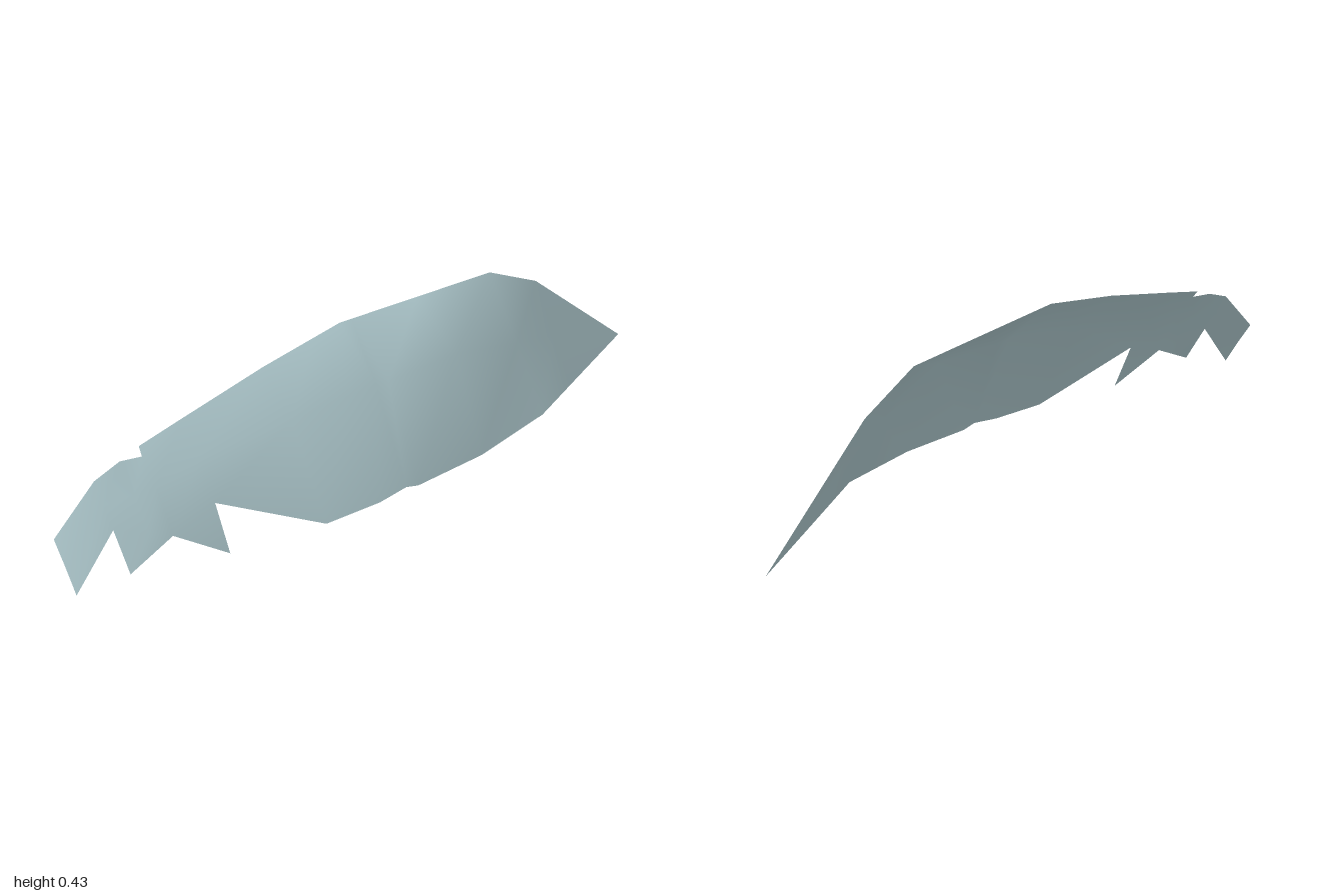
import * as THREE from 'three';

// Thin half shell lofted from cross-sections running front (+z) to tail (-z).
export function createModel() {
  const shellBlue = new THREE.MeshStandardMaterial({ color: 0xb4cfd4, side: THREE.DoubleSide });
  shellBlue.name = 'pale blue grey';
  const X = -0.133; // straight inner edge

  // [z, inner edge x, y, middle x, y, outer edge x, y]
  const sections = [
    [1.0, X, 0.16, -0.09, 0.098, -0.05, 0.035],
    [0.87, X, 0.275, -0.098, 0.22, -0.063, 0.165],
    [0.79, X, 0.3, -0.08, 0.228, -0.026, 0.138],
    [0.735, -0.115, 0.3, -0.06, 0.235, 0, 0.12],
    [0.6, X, 0.345, -0.06, 0.265, 0, 0.16],
    [0.33, X, 0.395, -0.02, 0.285, 0.113, 0.035],
    [0.16, X, 0.418, 0, 0.3, 0.128, 0.035],
    [0.07, X, 0.43, 0.01, 0.305, 0.13, 0.045],
    [0.03, X, 0.427, 0.015, 0.303, 0.133, 0.035],
    [-0.2, X, 0.41, 0.025, 0.3, 0.133, 0.035],
    [-0.47, X, 0.39, -0.02, 0.215, 0.09, 0.035],
    [-0.65, X, 0.3, -0.055, 0.16, 0.014, 0.023],
  ];
  const points = [];
  const index = [];
  const id = (row, j) => row * 3 + j;
  const addPoint = (x, y, z) => points.push(x, y, z) / 3 - 1;

  for (const [z, ...p] of sections) {
    for (let j = 0; j < 3; j++) addPoint(p[j * 2], p[j * 2 + 1], z);
  }
  const last = sections.length - 1;
  for (let i = 0; i < last; i++) {
    for (let j = 0; j < 2; j++) {
      const a = id(i, j), b = id(i, j + 1), c = id(i + 1, j), d = id(i + 1, j + 1);
      index.push(a, b, c, c, b, d);
    }
  }

  // pointed tail
  const tail = addPoint(X, 0, -1);
  for (let j = 0; j < 2; j++) index.push(id(last, j), id(last, j + 1), tail);

  // jagged teeth on the outer edge
  index.push(id(1, 2), addPoint(0, 0.065, 0.87), id(2, 2));
  index.push(id(2, 2), points.length / 3 - 1, id(3, 2));
  index.push(id(3, 2), addPoint(0.055, 0.035, 0.6), id(4, 2));

  // corner beside the small notch on the inner edge
  index.push(addPoint(X, 0.32, 0.73), id(3, 0), id(4, 0));

  const geometry = new THREE.BufferGeometry();
  geometry.setAttribute('position', new THREE.Float32BufferAttribute(points, 3));
  geometry.setIndex(index);
  geometry.computeVertexNormals();

  const shell = new THREE.Mesh(geometry, shellBlue);
  shell.name = 'jaggedShell';
  const group = new THREE.Group();
  group.name = 'halfShell';
  group.add(shell);
  return group;
}
